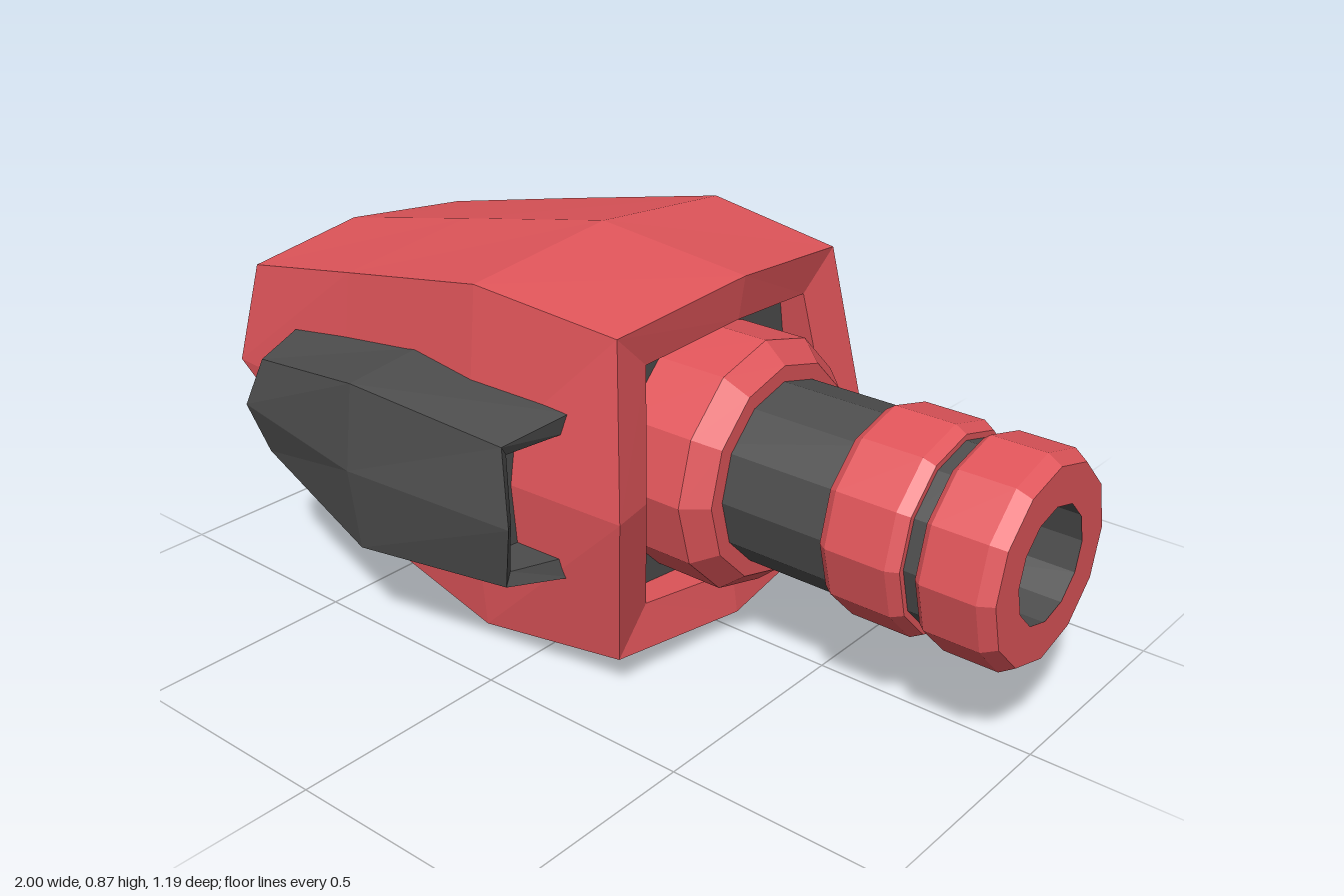
import * as THREE from 'three';

const red = new THREE.MeshStandardMaterial({ color: 0xe0555a, flatShading: true, side: THREE.DoubleSide });
const dark = new THREE.MeshStandardMaterial({ color: 0x4d4d4d, flatShading: true, side: THREE.DoubleSide });

// Skin a list of equal-length rings; collapsed (zero-area) triangles are dropped.
function loft(rings, closed, flip = false) {
  const pos = [];
  const tri = (a, b, c) => {
    const [A, B, C] = [a, b, c].map((p) => new THREE.Vector3(...p));
    if (B.clone().sub(A).cross(C.clone().sub(A)).length() < 1e-7) return;
    pos.push(...a, ...(flip ? [...c, ...b] : [...b, ...c]));
  };
  for (let i = 0; i < rings.length - 1; i++) {
    const n = rings[i].length;
    for (let j = 0; j < (closed ? n : n - 1); j++) {
      const k = (j + 1) % n;
      tri(rings[i][j], rings[i][k], rings[i + 1][j]);
      tri(rings[i][k], rings[i + 1][k], rings[i + 1][j]);
    }
  }
  const g = new THREE.BufferGeometry();
  g.setAttribute('position', new THREE.Float32BufferAttribute(pos, 3));
  g.computeVertexNormals();
  return g;
}

function add(parent, name, geometry, material) {
  const m = new THREE.Mesh(geometry, material);
  m.name = name;
  parent.add(m);
  return m;
}

// Half section (top, corner, side, corner, bottom) mirrored across z = 0.
const fullRing = (h) => [...h, ...[3, 2, 1].map((i) => [h[i][0], h[i][1], -h[i][2]])];
const pointRing = (p, n) => Array.from({ length: n }, () => p);

function addHull(root) {
  const hull = new THREE.Group();
  hull.name = 'hull';
  hull.position.z = -0.006;
  const opening = [[0.25, 0.73, 0], [0.225, 0.705, 0.265], [0.265, 0.43, 0.31], [0.225, 0.165, 0.265], [0.25, 0.137, 0]];
  const floor = fullRing(opening.map(([, y, z]) => [0.16, y, z]));
  const sections = [
    [[-0.945, 0.70, 0], [-0.917, 0.67, 0.325], [-0.965, 0.43, 0.36], [-0.965, 0.43, 0.36], [-1, 0.43, 0]],
    [[-0.55, 0.78, 0], [-0.55, 0.744, 0.358], [-0.55, 0.43, 0.395], [-0.54, 0.115, 0.358], [-0.565, 0.1, 0]],
    [[-0.12, 0.865, 0], [-0.12, 0.828, 0.393], [-0.12, 0.43, 0.431], [-0.12, 0.04, 0.393], [-0.12, 0, 0]],
    [[0.265, 0.828, 0], [0.233, 0.79, 0.36], [0.286, 0.43, 0.416], [0.233, 0.075, 0.36], [0.265, 0.04, 0]],
    opening,
  ].map(fullRing);
  add(hull, 'shell', loft([pointRing([-1, 0.43, 0], 8), ...sections, floor], true), red);
  add(hull, 'backPlate', loft([floor, pointRing([0.16, 0.43, 0], 8)], true), dark);
  root.add(hull);
}

// Side pod: base, corner and middle points per section, mirrored about y = 0.43.
function addPod(root, name, side) {
  const ring = (base, corner, mid) => {
    const low = ([x, y, z]) => [x, 0.86 - y, z];
    return [base, corner, mid, low(corner), low(base)].map(([x, y, z]) => [x, y, z * side]);
  };
  const nose = [-0.74, 0.565, 0.36];
  const rings = [
    ring(nose, nose, [-0.785, 0.43, 0.36]),
    ring(nose, [-0.70, 0.543, 0.49], [-0.74, 0.43, 0.515]),
    ring([-0.305, 0.64, 0.38], [-0.305, 0.62, 0.57], [-0.305, 0.43, 0.594]),
    ring([0.13, 0.615, 0.38], [0.093, 0.585, 0.535], [0.135, 0.43, 0.565]),
    ring([0.12, 0.57, 0.38], [0.085, 0.56, 0.515], [0.115, 0.43, 0.538]),
    ring([0, 0.57, 0.38], [0, 0.56, 0.515], [0, 0.43, 0.538]),
    pointRing([0, 0.43, 0.38 * side], 5),
  ];
  add(root, name, loft(rings, false, side < 0), dark);
}

// Twelve-sided turned part along +x from [x, radius] pairs.
function addTurned(root, name, profile, material, turn = 0) {
  const g = new THREE.LatheGeometry(profile.map(([x, r]) => new THREE.Vector2(r, x)), 12);
  g.rotateY(turn);
  g.rotateZ(-Math.PI / 2);
  add(root, name, g, material).position.y = 0.427;
}

export function createModel() {
  const root = new THREE.Group();
  root.name = 'model';
  addHull(root);
  addPod(root, 'leftPod', 1);
  addPod(root, 'rightPod', -1);

  // Barrel, from the collar out to the muzzle
  addTurned(root, 'collar', [[0.15, 0.278], [0.325, 0.278], [0.375, 0.235], [0.375, 0.19]], red);
  addTurned(root, 'barrel', [[0.3, 0.2], [0.64, 0.2]], dark);
  addTurned(root, 'rearMuzzleRing',
    [[0.62, 0.19], [0.62, 0.21], [0.64, 0.224], [0.775, 0.224], [0.8, 0.21], [0.8, 0.18]], red);
  addTurned(root, 'muzzleGroove', [[0.79, 0.197], [0.845, 0.197]], dark);
  addTurned(root, 'frontMuzzleRing',
    [[0.835, 0.18], [0.835, 0.212], [0.85, 0.224], [0.97, 0.224], [1, 0.205], [1, 0.122]], red);
  addTurned(root, 'bore', [[1, 0.125], [0.7, 0.125], [0.7, 0]], dark);
  return root;
}
